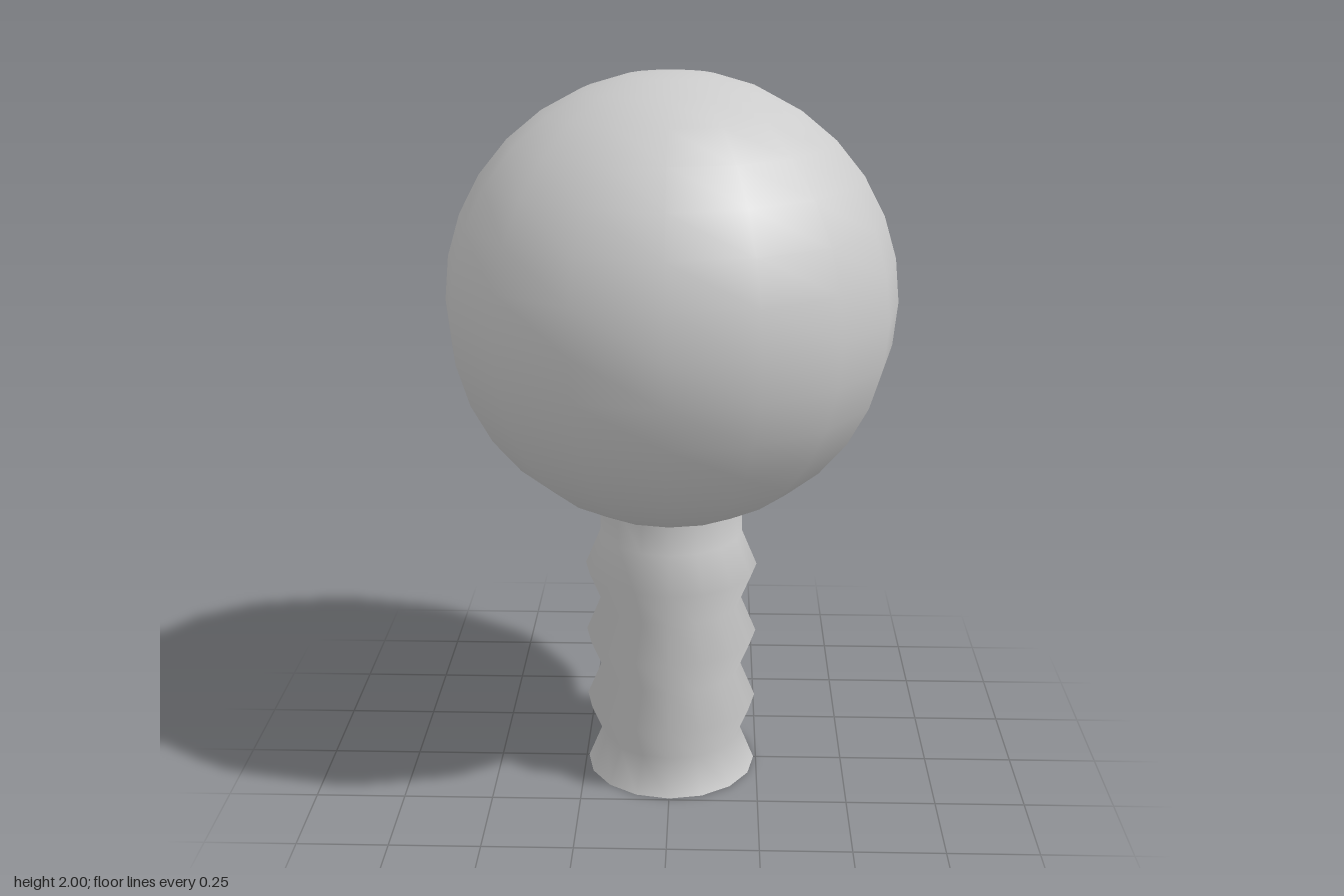
import * as THREE from 'three';

const SIDES = 16;
const RADIUS = 0.612;

export function createModel() {
  const group = new THREE.Group();
  const material = new THREE.MeshStandardMaterial({ color: 0xcccccc });

  function add(name, geometry, y = 0) {
    const mesh = new THREE.Mesh(geometry, material);
    mesh.name = name;
    mesh.position.y = y;
    group.add(mesh);
  }

  // Round head, its lower tip sunk into the grip
  add('head', new THREE.SphereGeometry(RADIUS, SIDES, SIDES), 2 - RADIUS);

  // Grip with evenly spaced ridges, straight at the neck
  const step = 0.1035;
  const profile = [];
  for (let i = 0; i < 8; i++) {
    profile.push(new THREE.Vector2(i % 2 ? 0.2 : 0.243, i * step));
  }
  profile.push(new THREE.Vector2(0.2, 8 * step + 0.01));
  add('grip', new THREE.LatheGeometry(profile, SIDES));

  // Flat base closing the grip
  const base = new THREE.CircleGeometry(0.243, SIDES);
  base.rotateX(Math.PI / 2);
  add('base', base);

  return group;
}
